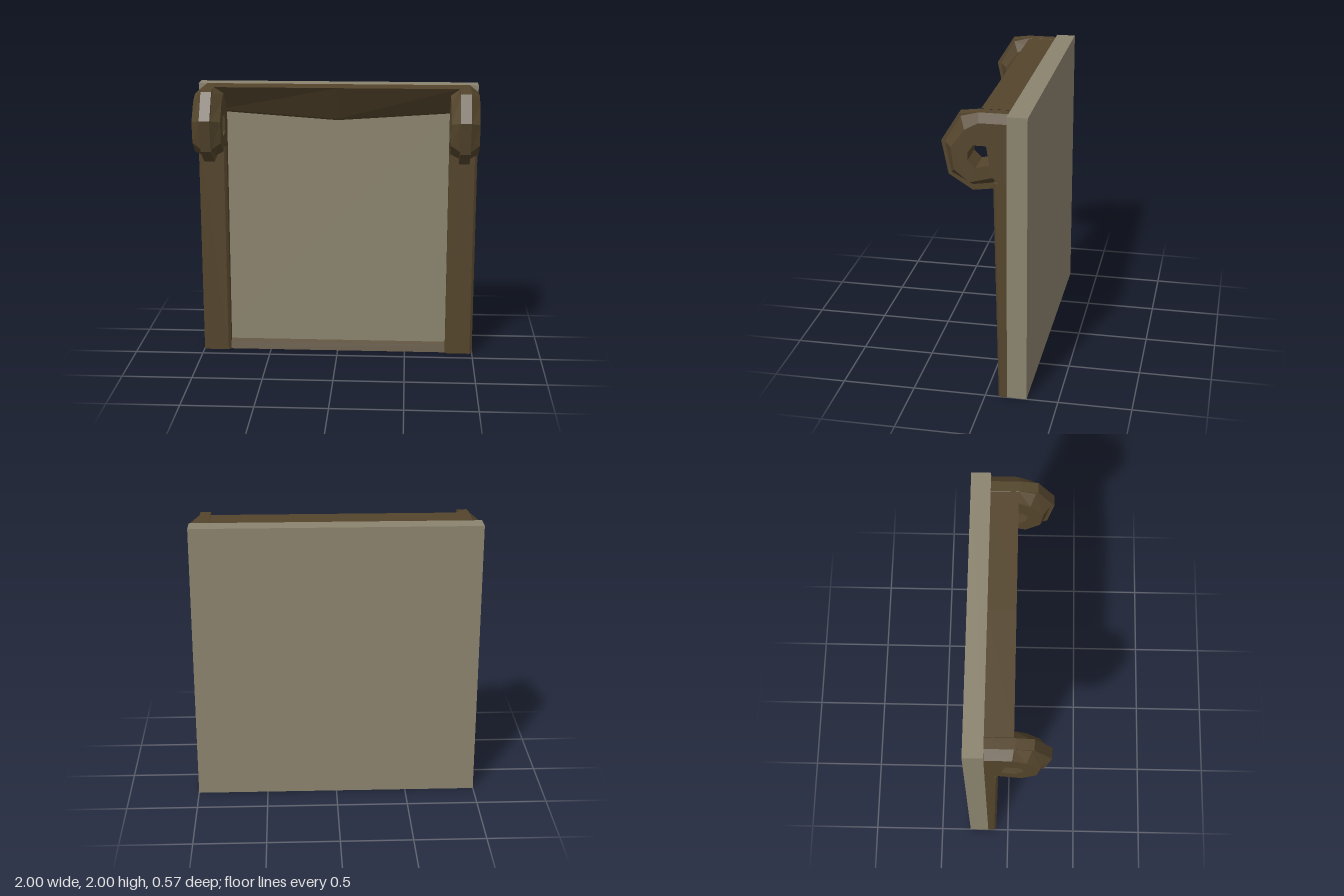
import * as THREE from 'three';

const wood = new THREE.MeshStandardMaterial({ color: 0x54452c, flatShading: true });
const stone = new THREE.MeshStandardMaterial({ color: 0x8b836e, flatShading: true });

// Skins consecutive [z, y] cross-sections placed at decreasing x.
function loft(rings) {
  const pos = [];
  for (let r = 0; r < rings.length - 1; r++) {
    const a = rings[r], b = rings[r + 1], n = a.pts.length;
    const p = (ring, i) => [ring.x, ring.pts[i % n][1], ring.pts[i % n][0]];
    for (let i = 0; i < n; i++) {
      pos.push(...p(a, i), ...p(b, i), ...p(b, i + 1));
      pos.push(...p(a, i), ...p(b, i + 1), ...p(a, i + 1));
    }
  }
  const g = new THREE.BufferGeometry();
  g.setAttribute('position', new THREE.Float32BufferAttribute(pos, 3));
  g.computeVertexNormals();
  return g;
}

// Flat side plate with a hole, facing +x (dir 1) or -x (dir -1).
function plate(outline, hole, dir, x) {
  const v = (pts) => pts.map(([z, y]) => new THREE.Vector2(-dir * z, y));
  const shape = new THREE.Shape(v(outline));
  shape.holes.push(new THREE.Path(v(hole)));
  return new THREE.ShapeGeometry(shape).rotateY(dir * Math.PI / 2).translate(dir * x, 0, 0);
}

function add(parent, name, geometry, material = wood) {
  const mesh = new THREE.Mesh(geometry, material);
  mesh.name = name;
  parent.add(mesh);
  return mesh;
}

// Hinge bracket: bevelled eye with a raised rib around its rim.
function bracket() {
  const rib = [[-0.15, 2], [0.05, 2], [0.17, 1.985], [0.285, 1.8], [0.24, 1.575],
    [0.08, 1.475], [-0.06, 1.495], [-0.08, 1.5], [-0.15, 1.5]];
  const rim = [[-0.15, 2], [0.04, 2], [0.155, 1.97], [0.26, 1.795], [0.22, 1.59],
    [0.08, 1.515], [-0.055, 1.535], [-0.09, 1.53], [-0.15, 1.53]];
  const side = [[-0.15, 1.95], [0.03, 1.95], [0.12, 1.9], [0.21, 1.78], [0.19, 1.63],
    [0.09, 1.55], [-0.06, 1.59], [-0.11, 1.54], [-0.15, 1.54]];
  const hole = [[0.1, 1.75], [0.066, 1.8], [-0.02, 1.8], [-0.04, 1.67], [0.05, 1.65], [0.1, 1.7]];
  const w = 0.1, c = 0.037;
  const g = new THREE.Group();
  add(g, 'bracketRim', loft([
    { x: w, pts: side }, { x: c, pts: rim }, { x: c, pts: rib },
    { x: -c, pts: rib }, { x: -c, pts: rim }, { x: -w, pts: side },
  ]));
  add(g, 'pinHole', loft([{ x: w, pts: hole }, { x: -w, pts: hole }]));
  for (const dir of [1, -1]) add(g, 'bracketSide', plate(side, hole, dir, w));
  return g;
}

// Side post: chamfered section, growing slightly deeper towards the top.
function postGeometry() {
  const h = 1.55;
  const section = [[-0.1, 0.15], [-0.1, 0.105], [-0.082, 0.09], [0.082, 0.09], [0.1, 0.105], [0.1, 0.15]];
  const shape = new THREE.Shape(section.map(([x, y]) => new THREE.Vector2(x, y)));
  const g = new THREE.ExtrudeGeometry(shape, { depth: h, bevelEnabled: false }).rotateX(-Math.PI / 2);
  const p = g.attributes.position;
  for (let i = 0; i < p.count; i++) {
    if (p.getZ(i) > -0.14) p.setZ(i, p.getZ(i) + 0.03 * p.getY(i) / h);
  }
  g.computeVertexNormals();
  return g;
}

export function createModel() {
  const model = new THREE.Group();
  model.name = 'framedPanel';

  add(model, 'backPanel', new THREE.BoxGeometry(2, 2, 0.135).translate(0, 1, -0.2175), stone);

  // Top beam with a sloping front that dips to a shallow point in the middle
  const beam = (x, low) => ({ x, pts: [[-0.15, 2], [0.04, 2], [-0.12, low + 0.015], [-0.15, low]] });
  add(model, 'topBeam', loft([beam(0.86, 1.8), beam(0, 1.74), beam(-0.86, 1.8)]));

  // Bottom rail with a bevelled upper edge
  const rail = [[-0.15, 0.07], [-0.125, 0.055], [-0.11, 0], [-0.15, 0]];
  add(model, 'bottomRail', loft([{ x: 0.85, pts: rail }, { x: -0.85, pts: rail }]));

  for (const [name, s] of [['left', 1], ['right', -1]]) {
    add(model, name + 'Post', postGeometry()).position.x = s * 0.9;
    const b = bracket();
    b.name = name + 'HingeBracket';
    b.position.x = s * 0.9;
    model.add(b);
  }
  return model;
}
